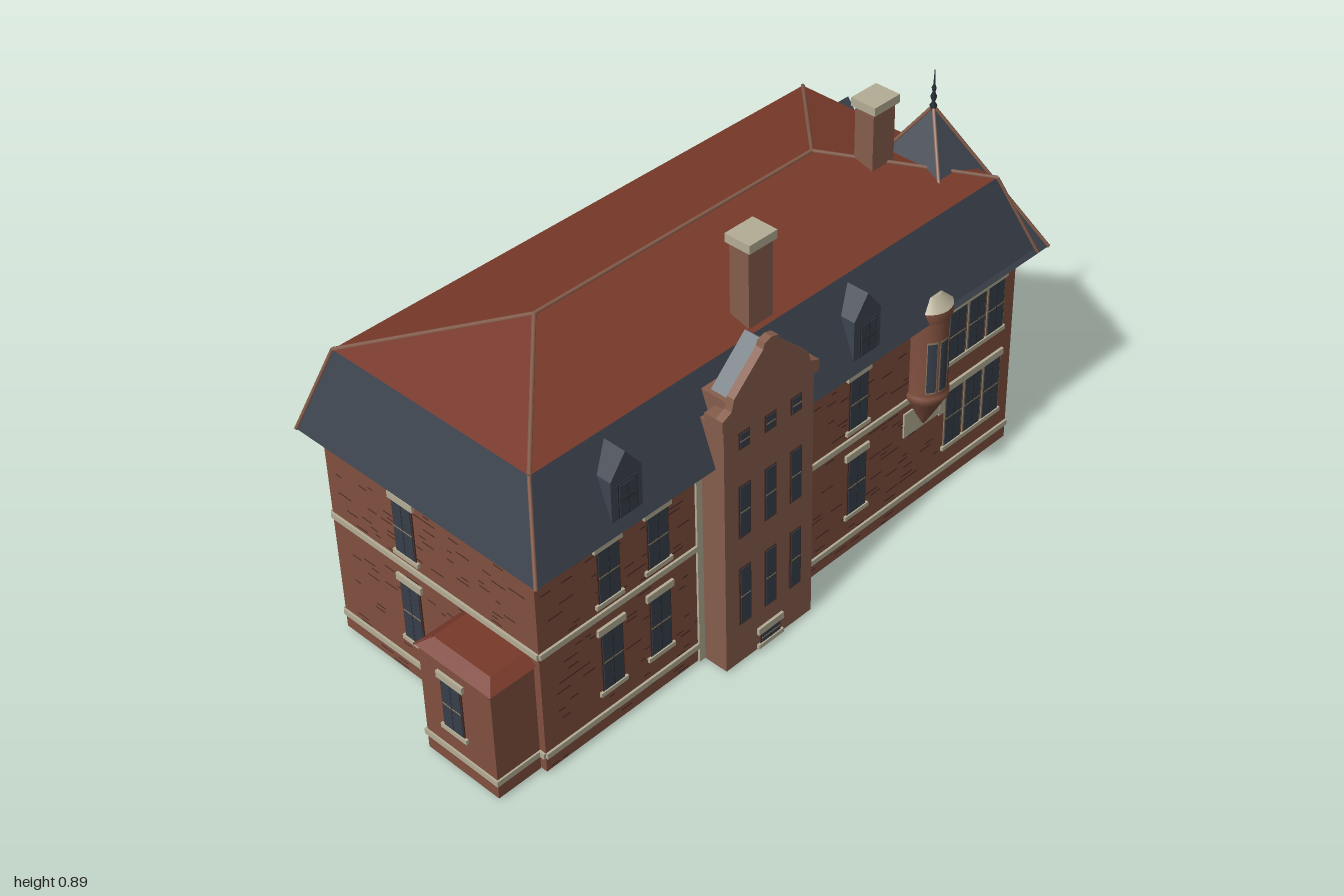
import * as THREE from 'three';
import { mergeGeometries } from 'three/addons/utils/BufferGeometryUtils.js';

const paint = (name, color) => {
  const m = new THREE.MeshStandardMaterial({ color, side: THREE.DoubleSide });
  m.name = name;
  return m;
};

export function createModel() {
  const house = new THREE.Group();
  house.name = 'house';
  const brick = paint('red brick', 0x80503f), stone = paint('brownstone', 0x865e4c);
  const tile = paint('red roof', 0x78392a), slate = paint('slate', 0x3e454f);
  const cream = paint('limestone', 0xb3ac94), glass = paint('window glass', 0x383f4b);
  const trim = paint('tan trim', 0x8f7d61), dark = paint('dark brick', 0x4c2f28);
  const grey = paint('grey slate', 0x70787f), iron = paint('iron', 0x2b3038);

  const add = (name, geo, mat, parent = house) => {
    const m = new THREE.Mesh(geo, mat);
    m.name = name;
    parent.add(m);
    return m;
  };
  // Box given by its limits on each axis
  const box = (name, mat, x0, x1, y0, y1, z0, z1, parent = house) => {
    const m = add(name, new THREE.BoxGeometry(x1 - x0, y1 - y0, z1 - z0), mat, parent);
    m.position.set((x0 + x1) / 2, (y0 + y1) / 2, (z0 + z1) / 2);
    return m;
  };
  // Thin round bar between two points
  const bar = (name, mat, a, b, r) => {
    const p = new THREE.Vector3(...a), q = new THREE.Vector3(...b), d = q.clone().sub(p);
    const m = add(name, new THREE.CylinderGeometry(r, r, d.length(), 6), mat);
    m.position.copy(p).add(q).multiplyScalar(0.5);
    m.quaternion.setFromUnitVectors(new THREE.Vector3(0, 1, 0), d.normalize());
  };
  // Roof block between two level rectangles [x0, x1, z0, z1], with bars on its hips
  const frustum = (name, mat, lo, y0, hi, y1, r = 0.004, hipMat = stone) => {
    const ring = ([x0, x1, z0, z1], y) => [[x0, y, z1], [x1, y, z1], [x1, y, z0], [x0, y, z0]];
    const a = ring(lo, y0), b = ring(hi, y1), index = [0, 2, 1, 0, 3, 2, 4, 5, 6, 4, 6, 7];
    for (let i = 0; i < 4; i++) {
      const j = (i + 1) % 4;
      index.push(i, j, j + 4, i, j + 4, i + 4);
      bar(name + 'Hip', hipMat, a[i], b[i], r);
    }
    const g = new THREE.BufferGeometry();
    g.setAttribute('position', new THREE.Float32BufferAttribute([...a, ...b].flat(), 3));
    g.setIndex(index);
    const flat = g.toNonIndexed();
    flat.computeVertexNormals();
    add(name, flat, mat);
  };
  const extrude = (pts, depth) => new THREE.ExtrudeGeometry(
    new THREE.Shape(pts.map(p => new THREE.Vector2(...p))), { depth, bevelEnabled: false });

  // Open-bottomed walls around the footprint; the entry end and corner tower are brownstone
  const plan = [[-0.89, 0.273, brick], [0.455, 0.273, stone], [0.455, -0.065, stone],
    [0.425, -0.065, stone], [0.425, -0.3, brick], [-0.89, -0.3, brick]];
  plan.forEach(([x, z, mat], i) => {
    const [nx, nz] = plan[(i + 1) % plan.length];
    const w = add('wall', new THREE.PlaneGeometry(Math.hypot(nx - x, nz - z), 0.49), mat);
    w.position.set((x + nx) / 2, 0.251, (z + nz) / 2);
    w.rotation.y = Math.atan2(z - nz, nx - x);
  });
  // Pale inner linings behind the bay and the annex
  box('bayLining', cream, -0.476, -0.235, 0.006, 0.48, 0.268, 0.272);
  box('annexLining', cream, -0.889, -0.885, 0.006, 0.28, -0.29, 0.262);

  // Facades: local x runs along the wall, local z points outward
  const facade = (name, x, z, turn) => {
    const g = new THREE.Group();
    g.name = name;
    g.position.set(x, 0, z);
    g.rotation.y = turn;
    house.add(g);
    return g;
  };
  const H = Math.PI / 2;
  const front = facade('frontFacade', 0, 0.273, 0), back = facade('backFacade', 0, -0.3, 2 * H);
  const tower = facade('towerFacade', 0.455, 0, H), entry = facade('entryFacade', 0.425, 0, H);
  const west = facade('endFacade', -0.89, 0, -H), bay = facade('bayFacade', -0.355, 0.335, 0);
  const annexEnd = facade('annexFacade', -0.995, 0, -H);

  // Sash window with frame, middle rail and optional stone lintel and sill
  const windowAt = (f, u, y0, y1, w, stones = true, frame = dark, rail = trim) => {
    const a = u - w / 2, b = u + w / 2, mid = (y0 + y1) / 2;
    box('windowFrame', frame, a - 0.003, b + 0.003, y0 - 0.003, y1 + 0.003, 0.0005, 0.003, f);
    box('windowPane', glass, a, b, y0, y1, 0.001, 0.0045, f);
    box('windowRail', rail, a, b, mid - 0.0015, mid + 0.0015, 0.001, 0.005, f);
    if (w > 0.04) box('windowBar', iron, u - 0.001, u + 0.001, y0, y1, 0.001, 0.005, f);
    if (!stones) return;
    box('lintel', cream, a - 0.01, b + 0.01, y1 + 0.002, y1 + 0.018, 0, 0.006, f);
    box('sill', cream, a - 0.01, b + 0.01, y0 - 0.012, y0 - 0.002, 0, 0.006, f);
  };
  const floors = [[0.108, 0.245], [0.325, 0.445]];
  for (const [y0, y1] of floors) {
    for (const x of [-0.715, -0.59, -0.035]) windowAt(front, x, y0, y1, 0.05);
    for (const x of [0.1, -0.27, -0.605]) windowAt(back, -x, y0, y1, 0.05);
    windowAt(west, -0.08, y0, y1, 0.05);
    // Wide triple window
    box('tripleLintel', cream, 0.235, 0.425, y1 + 0.002, y1 + 0.018, 0, 0.006, front);
    box('tripleSill', cream, 0.235, 0.425, y0 - 0.012, y0 - 0.002, 0, 0.006, front);
    for (const x of [0.268, 0.33, 0.392]) windowAt(front, x, y0, y1, 0.05, false, trim);
    // Tower windows
    for (const [z, w] of [[0.163, 0.078], [-0.013, 0.05]]) {
      windowAt(tower, -z, y0, y1, w, false);
      box('towerLintel', trim, -z - w / 2 - 0.008, -z + w / 2 + 0.008, y1 + 0.004, y1 + 0.01, 0, 0.006, tower);
      box('towerSill', trim, -z - w / 2 - 0.008, -z + w / 2 + 0.008, y0 - 0.01, y0 - 0.003, 0, 0.006, tower);
    }
    for (const x of [-0.07, 0, 0.07]) windowAt(bay, x, y0, y1, 0.026, false);
  }
  for (const x of [-0.07, 0, 0.07]) windowAt(bay, x, 0.537, 0.57, 0.024, false);
  windowAt(bay, 0, 0.02, 0.042, 0.05);
  windowAt(tower, -0.163, 0.022, 0.05, 0.062, false, trim);
  windowAt(tower, 0.013, 0.022, 0.05, 0.048, false, trim);
  windowAt(annexEnd, 0.15, 0.108, 0.22, 0.05);

  // Belt courses, cornice and quoin strips
  const belts = [[front, -0.89, -0.476], [front, -0.235, 0.235], [back, -0.425, 0.89],
    [west, -0.3, 0.273], [entry, 0.065, 0.3]];
  for (const [f, a, b] of belts) {
    for (const y of [0.04, 0.288]) box('beltCourse', cream, a, b, y, y + 0.013, 0, 0.005, f);
    box('cornice', stone, a, b, 0.483, 0.499, 0, 0.016, f);
  }
  box('gutter', iron, 0.09, 0.337, 0.493, 0.501, 0, 0.042, entry);
  box('cornice', stone, 0.235, 0.455, 0.485, 0.499, 0, 0.018, front);
  box('beltCourse', cream, 0.235, 0.455, 0.04, 0.053, 0, 0.005, front);
  for (const x of [-0.482, -0.228, 0.228]) box('quoin', cream, x - 0.009, x + 0.009, x > 0 ? 0.2 : 0.006, 0.483, 0, 0.005, front);
  box('quoin', cream, 0.056, 0.077, 0.006, 0.49, -0.03, 0.003, tower);

  // Scattered dark bricks
  let seed = 7;
  const rand = () => (seed = (seed * 16807) % 2147483647) / 2147483647;
  for (const [f, a, b] of belts) {
    const list = [];
    for (let i = 0; i < (b - a) * 230; i++) {
      const w = 0.012 + 0.025 * rand();
      list.push(new THREE.PlaneGeometry(w, 0.0032).translate(
        a + w + (b - a - 2 * w) * rand(), 0.012 + 0.011 * Math.floor(rand() * 42), 0.0004));
    }
    add('darkBricks', mergeGeometries(list), dark, f);
  }

  // Mansard, low hipped top and tower spire
  frustum('mansard', slate, [-0.92, 0.47, -0.338, 0.314], 0.499, [-0.86, 0.408, -0.278, 0.247], 0.68);
  frustum('hippedRoof', tile, [-0.86, 0.408, -0.278, 0.247], 0.68, [-0.6, 0.145, -0.016, -0.016], 0.752, 0.0045);
  bar('ridge', stone, [-0.6, 0.752, -0.016], [0.145, 0.752, -0.016], 0.0045);
  frustum('spire', slate, [0.18, 0.503, -0.1, 0.317], 0.499, [0.365, 0.365, 0.11, 0.11], 0.81);
  bar('spireEave', trim, [0.503, 0.499, -0.1], [0.503, 0.499, 0.317], 0.003);
  const finial = [[0.005, 0.8], [0.008, 0.812], [0.003, 0.82], [0.007, 0.832], [0.003, 0.842],
    [0.005, 0.852], [0.002, 0.86], [0.0005, 0.893]].map(p => new THREE.Vector2(...p));
  add('finial', new THREE.LatheGeometry(finial, 10), iron).position.set(0.365, 0, 0.11);

  // Chimneys
  for (const [x, z] of [[-0.272, 0.212], [0.236, 0.068]]) {
    box('chimney', stone, x - 0.032, x + 0.032, 0.66, 0.856, z - 0.024, z + 0.024);
    box('chimneyCap', cream, x - 0.037, x + 0.037, 0.854, 0.873, z - 0.031, z + 0.031);
  }

  // Dormers with pointed fronts
  const dormer = (f, u, out) => {
    const g = new THREE.Group();
    g.name = 'dormer';
    g.position.set(u, 0, out);
    f.add(g);
    const pts = [[-0.038, 0.515], [0.038, 0.515], [0.038, 0.615], [0, 0.665], [-0.038, 0.615]];
    add('dormerBody', extrude(pts, 0.09), slate, g).position.z = -0.09;
    windowAt(g, 0, 0.53, 0.6, 0.042, false, iron, iron);
  };
  dormer(front, -0.69, 0.032);
  dormer(front, -0.05, 0.032);
  dormer(entry, 0.195, 0.034);

  // Projecting front bay with shouldered gable
  box('bayBody', stone, -0.476, -0.235, 0.006, 0.6, 0.274, 0.335);
  box('bayShoulder', stone, -0.484, -0.226, 0.6, 0.625, 0.295, 0.34);
  box('bayUpper', stone, -0.455, -0.255, 0.6, 0.645, 0.25, 0.335);
  const half = [[0.12, 0.6], [0.128, 0.625], [0.105, 0.635], [0.098, 0.66], [0.022, 0.73], [0.018, 0.742]];
  const gable = [...half, [0, 0.747], ...half.slice().reverse().map(([x, y]) => [-x, y])];
  add('bayGable', extrude(gable, 0.018), stone).position.set(-0.355, 0, 0.322);
  add('bayRoof', extrude([[-0.095, 0.64], [0.095, 0.64], [0, 0.73]], 0.05), grey).position.set(-0.355, 0, 0.274);

  // Round oriel on a conical corbel
  const oriel = new THREE.Group();
  oriel.name = 'oriel';
  oriel.position.set(0.165, 0, 0.28);
  house.add(oriel);
  const profile = [[0.002, 0.215], [0.022, 0.25], [0.042, 0.288], [0.05, 0.3], [0.05, 0.312], [0.044, 0.316],
    [0.044, 0.49], [0.05, 0.5], [0.05, 0.522]].map(p => new THREE.Vector2(...p));
  add('orielBody', new THREE.LatheGeometry(profile, 24), brick, oriel);
  add('orielCap', new THREE.CylinderGeometry(0.024, 0.05, 0.024, 24), cream, oriel).position.y = 0.534;
  for (const a of [-0.62, 0, 0.62]) {
    add('orielFrame', new THREE.CylinderGeometry(0.0447, 0.0447, 0.128, 8, 1, true, a - 0.26, 0.52), trim, oriel).position.y = 0.386;
    add('orielPane', new THREE.CylinderGeometry(0.0458, 0.0458, 0.12, 8, 1, true, a - 0.22, 0.44), glass, oriel).position.y = 0.386;
  }
  box('orielBackStone', cream, 0.108, 0.237, 0.205, 0.265, 0, 0.004, front);

  // End annex
  box('annex', brick, -0.995, -0.891, 0.006, 0.268, 0.065, 0.258);
  frustum('annexRoof', tile, [-1, -0.88, 0.058, 0.264], 0.266, [-0.975, -0.88, 0.085, 0.238], 0.285, 0.002, tile);
  box('annexBelt', cream, -0.999, -0.891, 0.04, 0.053, 0.061, 0.262);

  // Door and window surrounds on the entry side
  box('doorSurround', cream, 0.085, 0.265, 0.205, 0.262, 0, 0.005, entry);
  box('doorSurround', cream, 0.15, 0.255, 0.08, 0.22, 0, 0.006, entry);
  box('door', stone, 0.165, 0.24, 0.08, 0.225, 0, 0.008, entry);
  box('transom', glass, 0.185, 0.222, 0.2, 0.225, 0, 0.0095, entry);
  box('windowSurround', cream, 0.163, 0.24, 0.405, 0.464, 0, 0.004, entry);
  windowAt(entry, 0.2, 0.325, 0.445, 0.042);

  // Porch: platform, cheeks, steps, columns, roof and balustrade
  box('porchPlatform', cream, 0.425, 0.585, 0.005, 0.08, -0.302, -0.11);
  for (const z of [-0.302, -0.15]) {
    add('stairCheek', extrude([[0.57, 0.005], [0.675, 0.005], [0.675, 0.025], [0.59, 0.08], [0.57, 0.08]], 0.042), cream).position.z = z;
  }
  for (let i = 0; i < 6; i++) box('step', cream, 0.57, 0.67 - i * 0.015, 0.005 + i * 0.012, 0.017 + i * 0.012, -0.26, -0.15);
  for (const z of [-0.125, -0.193, -0.286]) {
    box('columnBase', stone, 0.532, 0.558, 0.08, 0.106, z - 0.013, z + 0.013);
    bar('porchColumn', stone, [0.545, 0.1, z], [0.545, 0.262, z], 0.01);
    box('columnCapital', stone, 0.532, 0.558, 0.243, 0.252, z - 0.013, z + 0.013);
  }
  for (const z of [-0.302, -0.135]) box('porchPedestal', cream, 0.525, 0.585, 0.08, 0.1, z, z + 0.026);
  box('porchBeam', stone, 0.425, 0.56, 0.252, 0.27, -0.298, -0.112);
  box('porchRoof', stone, 0.425, 0.57, 0.27, 0.279, -0.305, -0.106);
  box('porchDeck', tile, 0.425, 0.569, 0.279, 0.283, -0.304, -0.107);
  for (let i = 0; i < 17; i++) {
    const z = -0.3 + i * 0.0118;
    box('baluster', cream, 0.561, 0.567, 0.283, 0.301, z - 0.002, z + 0.002);
  }
  for (const z of [-0.301, -0.11]) {
    for (let x = 0.46; x < 0.56; x += 0.012) box('baluster', cream, x - 0.002, x + 0.002, 0.283, 0.301, z - 0.003, z + 0.003);
    box('sideRail', stone, 0.455, 0.57, 0.301, 0.309, z - 0.005, z + 0.005);
  }
  box('frontRail', stone, 0.559, 0.569, 0.301, 0.309, -0.306, -0.105);

  // Garden path
  box('path', cream, 0.65, 1, 0, 0.006, -0.245, -0.165);
  return house;
}
